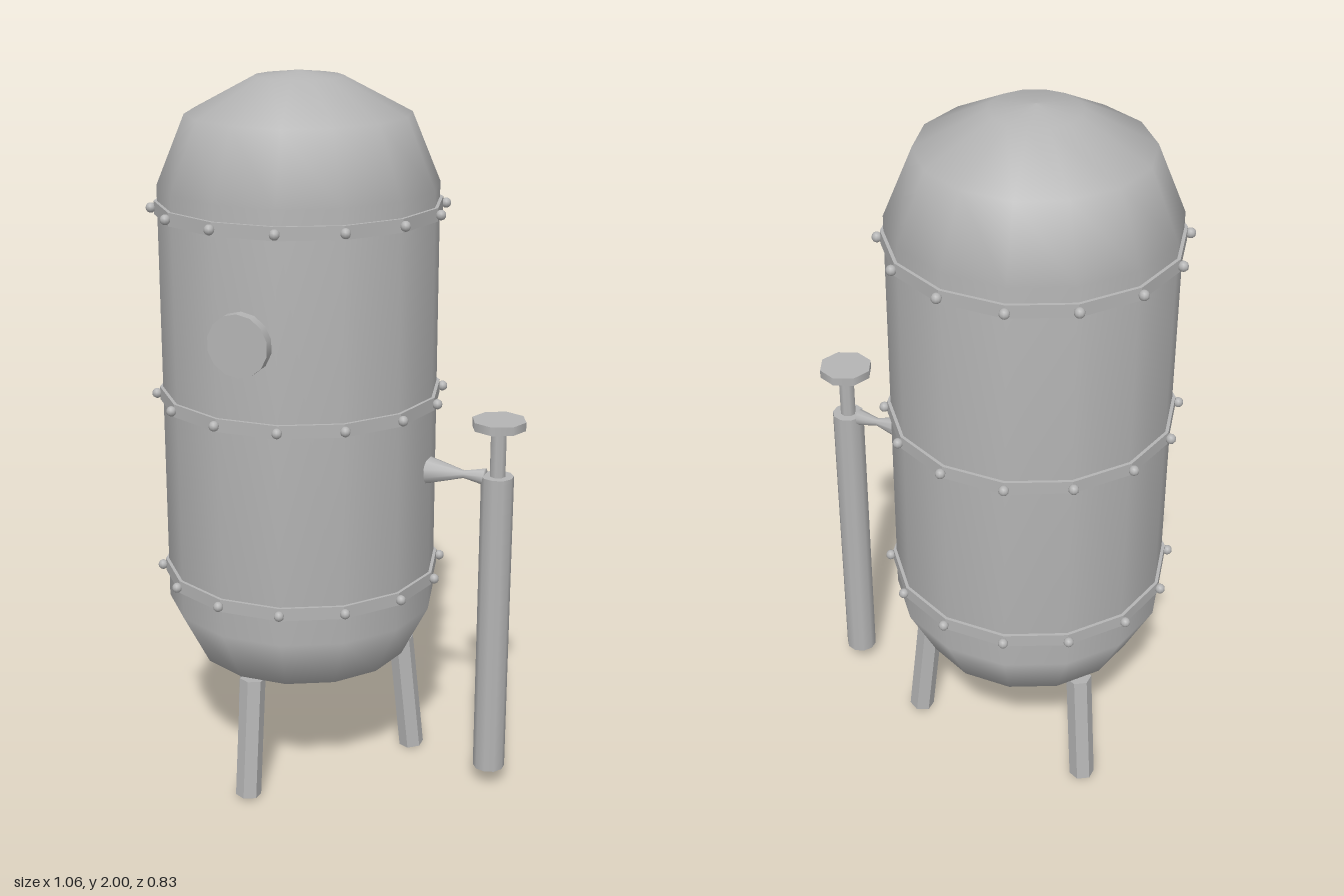
import * as THREE from 'three';

export function createModel() {
  const model = new THREE.Group();
  model.name = 'storageTank';
  const steel = new THREE.MeshStandardMaterial({ color: 0xb4b4b4 });
  steel.name = 'steel';
  const CX = -0.12, CZ = -0.018, SIDES = 14;

  const add = (parent, name, geometry, x = 0, y = 0, z = 0) => {
    const mesh = new THREE.Mesh(geometry, steel);
    mesh.name = name;
    mesh.position.set(x, y, z);
    parent.add(mesh);
    return mesh;
  };
  // Faceted copy of a geometry
  const faceted = (geometry) => {
    const g = geometry.toNonIndexed();
    g.computeVertexNormals();
    return g;
  };
  const lathe = (points, sides) => new THREE.LatheGeometry(
    points.map(([r, y]) => new THREE.Vector2(r, y)), sides, Math.PI / 2);

  // Tank, centred on its own axis
  const tank = new THREE.Group();
  tank.name = 'tank';
  tank.position.set(CX, 0, CZ);
  model.add(tank);
  add(tank, 'tankShell', lathe([
    [0, 0.283], [0.12, 0.31], [0.305, 0.357], [0.383, 0.51],
    [0.383, 1.7], [0.305, 1.888], [0.12, 1.985], [0, 2],
  ], SIDES));

  // Hoops with a rivet on every corner
  const hoop = faceted(new THREE.CylinderGeometry(0.392, 0.392, 0.036, SIDES, 1, false, Math.PI / 2));
  const rivet = new THREE.SphereGeometry(0.014, 10, 8);
  for (const y of [0.605, 1.12, 1.64]) {
    add(tank, 'hoop', hoop, 0, y, 0);
    for (let i = 0; i < SIDES; i++) {
      const a = (i / SIDES) * Math.PI * 2;
      add(tank, 'rivet', rivet, 0.4 * Math.cos(a), y, 0.4 * Math.sin(a));
    }
  }

  // Splayed six-sided legs
  const up = new THREE.Vector3(0, 1, 0);
  for (let i = 0; i < 3; i++) {
    const a = THREE.MathUtils.degToRad(97 + i * 120);
    const at = (r, y) => new THREE.Vector3(r * Math.cos(a), y, r * Math.sin(a));
    const foot = at(0.325, 0.004), top = at(0.29, 0.353);
    const axis = top.clone().sub(foot);
    const leg = add(tank, 'leg', faceted(
      new THREE.CylinderGeometry(0.036, 0.036, axis.length(), 6)));
    leg.position.copy(foot).add(top).multiplyScalar(0.5);
    leg.quaternion.setFromUnitVectors(up, axis.normalize());
  }

  // Round hatch on the front
  const hatch = add(model, 'hatch', new THREE.CylinderGeometry(0.084, 0.084, 0.03, 14), CX, 1.355, 0.398);
  hatch.rotation.x = Math.PI / 2;

  // Side pipe with valve stem and handwheel
  const valve = new THREE.Group();
  valve.name = 'sidePipe';
  valve.position.set(0.455, 0, CZ);
  model.add(valve);
  add(valve, 'pipe', new THREE.CylinderGeometry(0.045, 0.045, 0.885, 10), 0, 0.4925, 0);
  add(valve, 'valveStem', new THREE.CylinderGeometry(0.022, 0.022, 0.15, 8), 0, 1.005, 0);
  add(valve, 'handwheel', new THREE.CylinderGeometry(0.075, 0.075, 0.024, 8), 0, 1.084, 0);

  // Pinched connector from tank to pipe
  const connector = add(model, 'connector', lathe(
    [[0, 0], [0.04, 0], [0.04, 0.001], [0.011, 0.105], [0.024, 0.165], [0, 0.165]], 10), 0.255, 0.928, CZ);
  connector.rotation.z = -Math.PI / 2;

  return model;
}
